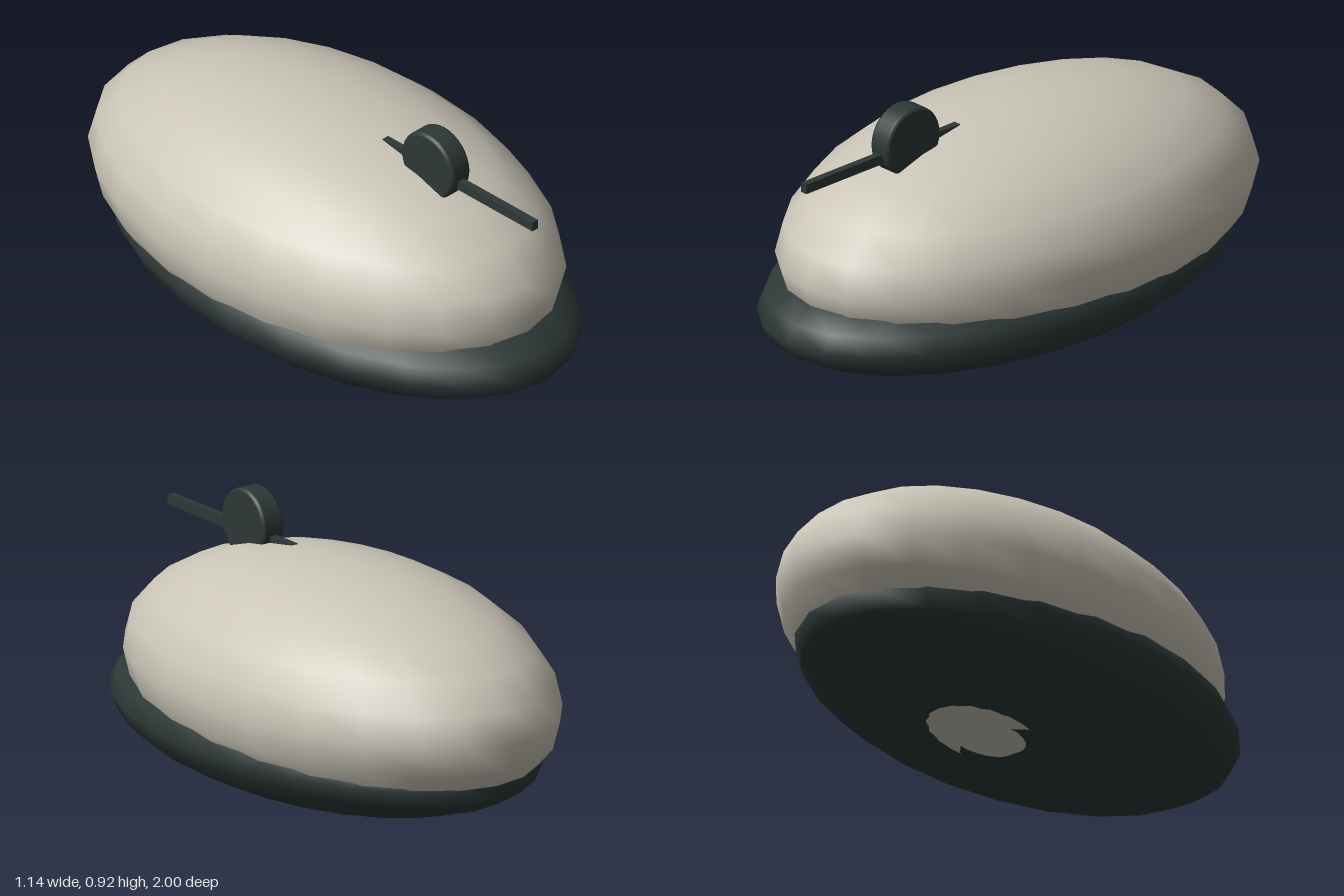
import * as THREE from 'three';

const shellMat = new THREE.MeshStandardMaterial({ color: 0xcac5b7 });
shellMat.name = 'warm grey';
const darkMat = new THREE.MeshStandardMaterial({ color: 0x2d3837 });
darkMat.name = 'dark slate';

export function createModel() {
  const model = new THREE.Group();
  model.name = 'computerMouse';

  const add = (name, geometry, material, x, y, z) => {
    const mesh = new THREE.Mesh(geometry, material);
    mesh.name = name;
    mesh.position.set(x, y, z);
    model.add(mesh);
    return mesh;
  };
  const ellipsoid = (rx, ry, rz) => new THREE.SphereGeometry(1, 24, 12).scale(rx, ry, rz);

  // Upper shell and the flatter base, offset forward
  add('upperShell', ellipsoid(0.572, 0.4, 0.955), shellMat, 0, 0.4, -0.045);
  add('base', ellipsoid(0.557, 0.225, 0.955), darkMat, 0, 0.228, 0.045);

  // Scroll wheel with softened rims, its axle along x
  const r = 0.12, w = 0.042, b = 0.01;
  const profile = [
    [0, -w], [r - b, -w], [r - b, -w], [r - 0.003, -w + 0.003], [r, -w + b], [r, -w + b],
    [r, w - b], [r, w - b], [r - 0.003, w - 0.003], [r - b, w], [r - b, w], [0, w],
  ].map(([x, y]) => new THREE.Vector2(x, y));
  const wheel = new THREE.LatheGeometry(profile, 32).rotateZ(Math.PI / 2);
  add('scrollWheel', wheel, darkMat, 0, 0.803, 0.46);

  // Straight strip running forward past the nose, between the buttons
  add('buttonDivider', new THREE.BoxGeometry(0.026, 0.034, 0.695), darkMat, 0, 0.768, 0.573);

  return model;
}
